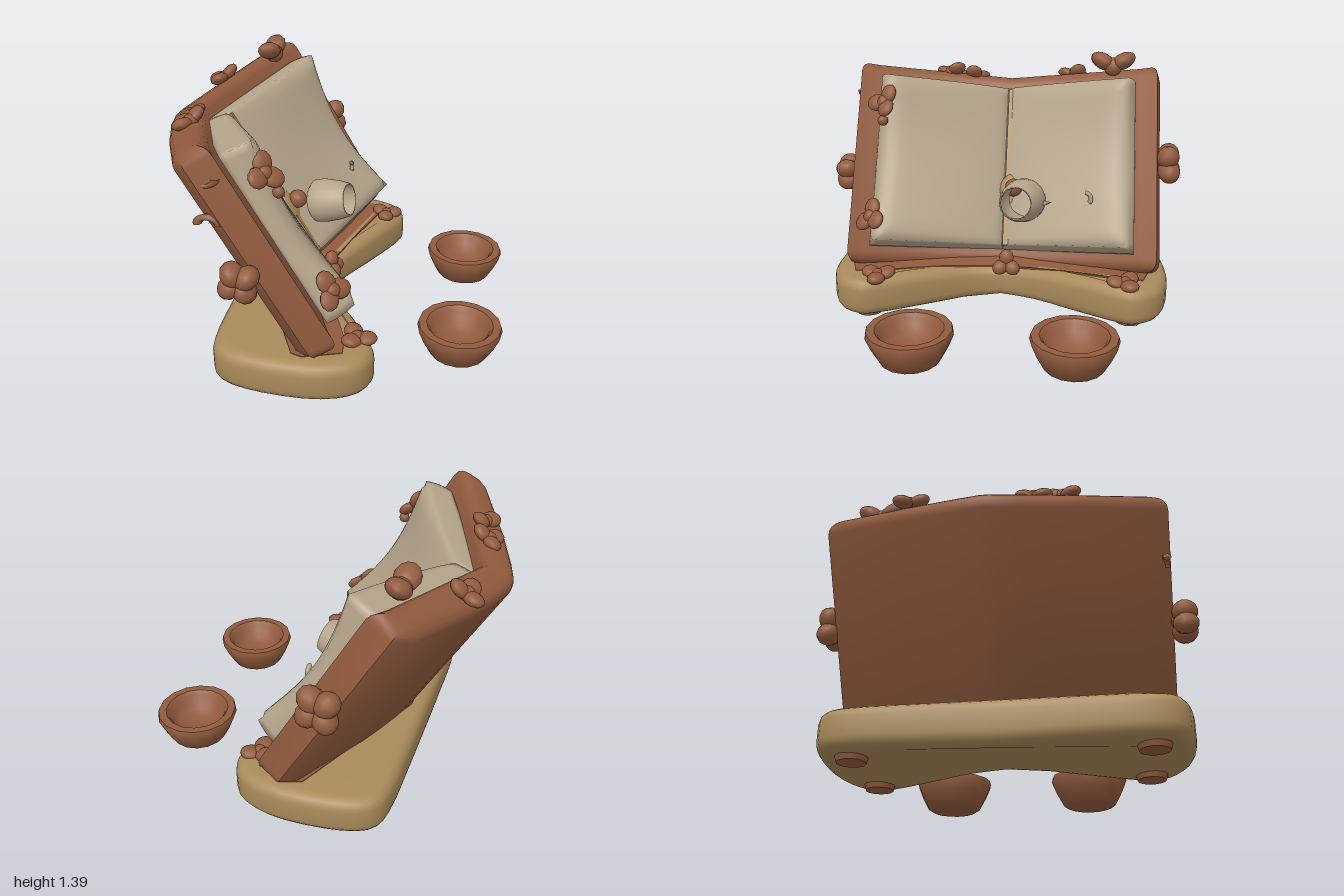
import * as THREE from 'three';
import { mergeVertices, toCreasedNormals } from 'three/addons/utils/BufferGeometryUtils.js';

const material = (name, color, side = THREE.FrontSide) => {
  const m = new THREE.MeshStandardMaterial({ color, side });
  m.name = name;
  return m;
};

export function createModel() {
  const model = new THREE.Group();
  model.name = 'openBookOnStand';
  const brown = material('brown clay', 0x925b3e);
  const cream = material('cream paper', 0xb6a68c, THREE.DoubleSide);
  const tan = material('tan wood', 0xa98a5a);

  const add = (parent, name, geometry, mat, pos = [0, 0, 0]) => {
    const mesh = new THREE.Mesh(geometry, mat);
    mesh.name = name;
    mesh.position.set(...pos);
    parent.add(mesh);
    return mesh;
  };

  // Extrude a plan outline upwards with softened edges; shift(x, y, z) offsets each height
  const slab = (shape, height, bevel, shift) => {
    const g = new THREE.ExtrudeGeometry(shape, {
      depth: height - 2 * bevel, bevelEnabled: bevel > 0, bevelSize: bevel, bevelThickness: bevel,
      bevelOffset: -bevel, bevelSegments: 4, curveSegments: 8,
    });
    g.translate(0, 0, bevel).rotateX(-Math.PI / 2);
    const p = g.attributes.position;
    for (let i = 0; i < p.count; i++) {
      p.setY(i, p.getY(i) + shift(p.getX(i), p.getY(i) / height, p.getZ(i)));
    }
    return toCreasedNormals(g, 0.8);
  };
  // Outline given for one half (a, z >= 0), reflected to the other
  const mirrored = (half) => [...half, ...half.filter(p => p[1] > 0).reverse().map(([a, z]) => [a, -z])]
    .map(p => new THREE.Vector2(...p));

  // The stand dips towards its notch
  const dip = (x, z) => -0.05 * Math.max(0, 1 - Math.abs(z) / 0.5) * THREE.MathUtils.smoothstep(x, -0.4, -0.15);

  // Stand: a thick board with two wings, its underside lowest in the middle
  const boardCurve = new THREE.SplineCurve(mirrored([
    [-0.09, 0], [-0.02, 0.19], [0.12, 0.42], [0.25, 0.65], [0.275, 0.76], [0.2, 0.88],
    [0, 0.945], [-0.3, 0.93], [-0.49, 0.86], [-0.545, 0.7], [-0.55, 0.35], [-0.55, 0.1],
  ]));
  const board = slab(new THREE.Shape(boardCurve.getPoints(64)), 0.235, 0.065,
    (x, t, z) => (1 - t) * 0.025 * Math.abs(z) + t * dip(x, z));
  add(model, 'standBoard', board, tan, [0, 0.015, 0]);

  // Clay rim where the book meets the stand
  const rim = new THREE.Shape(mirrored([
    [-0.12, 0], [0, 0.35], [0.12, 0.68], [0.13, 0.8], [-0.06, 0.86], [-0.12, 0.84], [-0.47, 0.05],
  ]));
  add(model, 'standRim', slab(rim, 0.008, 0, (x, t, z) => dip(x, z)), brown, [0, 0.246, 0]);

  for (const z of [-0.73, 0.73]) {
    for (const x of [0.12, -0.38]) {
      add(model, 'foot', new THREE.CylinderGeometry(0.09, 0.075, 0.05, 14), brown, [x, 0.03, z]);
    }
  }

  // Book, tilted back towards -x
  const book = new THREE.Group();
  book.name = 'book';
  book.rotation.z = Math.PI / 6;
  model.add(book);

  // Cover: its spine sits a little higher than its ends
  const cover = new THREE.Shape(mirrored([
    [-0.09, 0], [0.21, 0.76], [0.26, 0.86], [0.12, 0.89], [0.045, 0.83], [-0.14, 0.43], [-0.24, 0.16], [-0.275, 0.03],
  ]));
  add(book, 'cover', slab(cover, 1.195, 0.065, (x, t, z) => 0.045 * (1 - Math.abs(z) / 0.88)), brown, [0, 0.2, -0.01]);

  // Page blocks: grids bent so the leaves rise outwards, sag in the middle and flare at the back
  for (const side of [1, -1]) {
    const box = new THREE.BoxGeometry(1, 1, 1, 6, 24, 20);
    box.deleteAttribute('normal');
    box.deleteAttribute('uv');
    const g = mergeVertices(box);
    const p = g.attributes.position;
    for (let i = 0; i < p.count; i++) {
      const d = p.getX(i) + 0.5, t = p.getY(i) + 0.5, s = side * p.getZ(i) + 0.5;
      const edge = Math.max(Math.abs(2 * t - 1), s) ** 16;
      const front = 0.02 + 0.4 * s ** 0.9 - 0.075 * s * Math.sin(Math.PI * t) - 0.045 * edge * s;
      const back = -0.13 + 0.35 * s;
      p.setXYZ(i, back + (front - back) * d,
        0.79 + 0.045 * (1 - s) + (t - 0.5) * (0.985 - 0.03 * d * d),
        side * s * (0.74 - 0.05 * d * d) - 0.01 * s);
    }
    g.computeVertexNormals();
    add(book, 'pageBlock', g, cream);
  }

  // Stain in the gutter, widening around a bead
  add(book, 'gutterStrip', new THREE.BoxGeometry(0.06, 0.95, 0.026), tan, [0.012, 0.825, -0.02]);
  add(book, 'gutterStripLower', new THREE.BoxGeometry(0.06, 0.4, 0.042), tan, [0.018, 0.555, -0.027]);
  const patch = add(book, 'gutterPatch', new THREE.SphereGeometry(0.075, 14, 8), tan, [0.03, 0.68, -0.05]);
  patch.scale.set(0.45, 1.4, 1);
  add(model, 'bead', new THREE.SphereGeometry(0.052, 14, 10), brown, [-0.27, 0.635, -0.06]);

  // Open-ended cup resting on the page
  const cup = new THREE.Group();
  cup.name = 'cup';
  cup.position.set(-0.085, 0.615, -0.115);
  cup.quaternion.setFromUnitVectors(new THREE.Vector3(0, 1, 0), new THREE.Vector3(0.95, 0.2, 0.2).normalize());
  model.add(cup);
  const cupProfile = [[0.1, -0.11], [0.122, -0.09], [0.124, -0.03], [0.112, 0.05], [0.095, 0.11],
    [0.084, 0.11], [0.1, 0.04], [0.112, -0.04], [0.1, -0.11]].map(p => new THREE.Vector2(...p));
  add(cup, 'cupWall', new THREE.LatheGeometry(cupProfile, 24), cream);
  const handle = add(cup, 'cupHandle', new THREE.ConeGeometry(0.02, 0.06, 6), cream, [0.03, -0.04, -0.14]);
  handle.rotation.x = -1.4;
  const curlPiece = add(model, 'pageCurl', new THREE.TorusGeometry(0.035, 0.013, 6, 10, 2.2), cream, [-0.03, 0.66, -0.47]);
  curlPiece.rotation.set(0.2, 1.5, -0.9);

  // Bowls in front of the book, with round hollows
  const bowlProfile = [[0, 0.02], [0.13, 0.02], [0.155, 0.035], [0.195, 0.11], [0.222, 0.175], [0.216, 0.2],
    [0.175, 0.2], [0.158, 0.18], [0.142, 0.14], [0.11, 0.108], [0.06, 0.09], [0, 0.085]].map(p => new THREE.Vector2(...p));
  for (const z of [-0.43, 0.385]) {
    add(model, 'bowl', toCreasedNormals(new THREE.LatheGeometry(bowlProfile, 16), 0.75), brown, [0.685, 0, z]);
  }

  // Leaf sprigs: a ring of chunky lobes around a small heart, facing a direction
  const sprig = (name, pos, normal, size, lobes, lift = 0.3, turn = 0, plump = 0.32) => {
    const group = new THREE.Group();
    group.name = name;
    group.position.set(...pos);
    group.quaternion.setFromUnitVectors(new THREE.Vector3(0, 1, 0), new THREE.Vector3(...normal).normalize());
    model.add(group);
    for (let i = 0; i < lobes; i++) {
      const arm = new THREE.Group();
      arm.rotation.y = turn + i * 2 * Math.PI / lobes;
      group.add(arm);
      const leaf = add(arm, 'leaf', new THREE.SphereGeometry(size, 12, 8), brown, [size * 0.45, size * lift * 0.5, 0]);
      leaf.scale.set(0.58, plump, 0.5);
      leaf.rotation.z = lift;
    }
    add(group, 'leafHeart', new THREE.SphereGeometry(size * 0.42, 10, 8), brown);
  };
  sprig('farSideSprig', [-0.25, 0.81, -0.925], [0.1, 0.1, -1], 0.125, 4, 0.25, 0.6, 0.5);
  sprig('nearSideSprig', [-0.33, 0.69, 0.92], [0, 0, 1], 0.11, 4, 0.2, 0.6, 0.6);
  sprig('topSprig', [-0.52, 1.31, -0.62], [-0.3, 1, 0], 0.13, 2, 0.5, 1.5, 0.36);
  sprig('topSprig', [-0.77, 1.21, -0.4], [-0.5, 0.87, 0], 0.1, 3, 0.3, 0.4);
  sprig('topSprig', [-0.76, 1.2, 0.22], [-0.5, 0.87, 0], 0.1, 3, 0.2, 0);
  sprig('topSprig', [-0.71, 1.23, 0.36], [-0.5, 0.87, 0], 0.1, 2, 0.3, 1);
  sprig('standSprig', [0.17, 0.245, -0.7], [0.1, 1, 0], 0.1, 3, 0.2, 0.5);
  sprig('standSprig', [0.18, 0.245, 0.66], [0.1, 1, 0], 0.1, 3, 0.2, 0);
  sprig('lowerPageSprig', [0.06, 0.55, 0.71], [0.6, 0.5, 0.5], 0.105, 3, 0.1, 0.7, 0.28);
  sprig('upperPageSprig', [-0.26, 1.13, 0.68], [0.6, 0.5, 0.4], 0.105, 3, 0.2, 0.2, 0.28);
  sprig('notchSprig', [-0.07, 0.235, -0.035], [1, 0.4, 0], 0.085, 3, 0.3, Math.PI, 0.45);
  add(model, 'berry', new THREE.SphereGeometry(0.03, 10, 8), brown, [-0.19, 1.04, 0.68]);

  // Small curled tendrils on the near cover edge
  for (const [y, spin] of [[1.17, Math.PI], [0.94, 0]]) {
    const curl = add(model, 'tendril', new THREE.TorusGeometry(0.05, 0.022, 6, 12, Math.PI), brown, [-0.48, y, 0.855]);
    curl.rotation.z = spin;
    curl.scale.y = 0.7;
  }
  return model;
}
